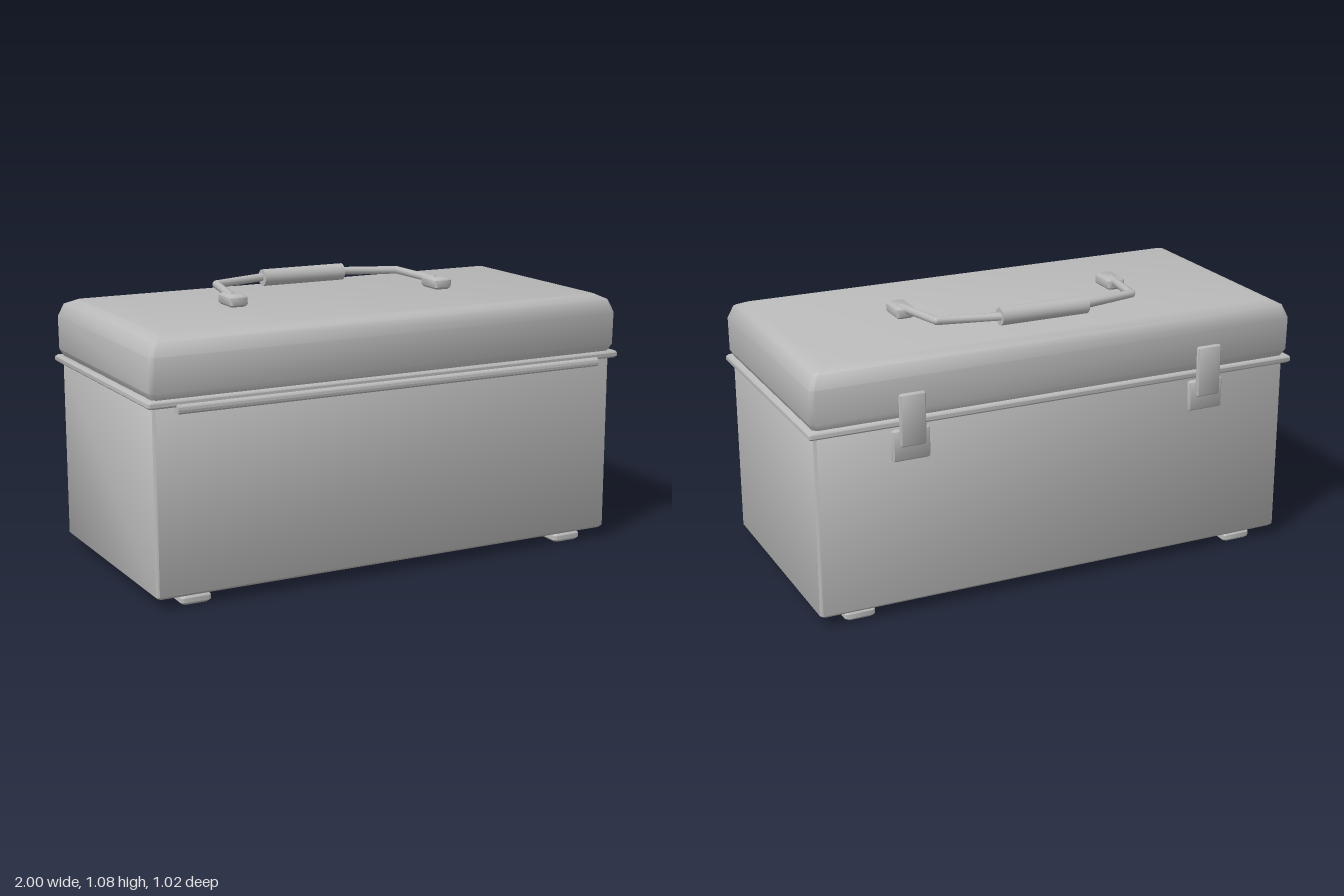
import * as THREE from 'three';
import { toCreasedNormals } from 'three/addons/utils/BufferGeometryUtils.js';
import { ConvexGeometry } from 'three/addons/geometries/ConvexGeometry.js';

const grey = new THREE.MeshStandardMaterial({ color: 0xbababa });
grey.name = 'plain grey';

// Stacked rectangular sections [y, halfX, halfZ] with corners cut by c
function sections(rings, c) {
  const points = [];
  for (const [y, hx, hz] of rings) {
    for (const sx of [-1, 1]) for (const sz of [-1, 1]) {
      points.push(new THREE.Vector3(sx * hx, y, sz * (hz - c)));
      points.push(new THREE.Vector3(sx * (hx - c), y, sz * hz));
    }
  }
  return toCreasedNormals(new ConvexGeometry(points), 0.88);
}

// Box with bevelled edges, centred on the origin
function bevelBox(w, h, d, b) {
  const x = w / 2, y = h / 2, z = d / 2;
  return sections([[-y, x - b, z - b], [-y + b, x, z], [y - b, x, z], [y, x - b, z - b]], b);
}

export function createModel() {
  const model = new THREE.Group();
  model.name = 'toolbox';
  const add = (name, geometry, x = 0, y = 0, z = 0) => {
    const mesh = new THREE.Mesh(geometry, grey);
    mesh.name = name;
    mesh.position.set(x, y, z);
    model.add(mesh);
    return mesh;
  };
  // Straight bar between two points
  const bar = (name, a, b, r, sides) => {
    const dir = b.clone().sub(a);
    const geometry = toCreasedNormals(new THREE.CylinderGeometry(r, r, dir.length(), sides), 0.9);
    const mesh = add(name, geometry);
    mesh.position.copy(a).add(b).multiplyScalar(0.5);
    mesh.quaternion.setFromUnitVectors(new THREE.Vector3(0, 1, 0), dir.normalize());
  };

  // Case, rim and lid
  add('body', bevelBox(1.95, 0.715, 0.932, 0.01), 0, 0.4, 0);
  add('rim', bevelBox(2, 0.027, 0.98, 0.007), 0, 0.762, 0);
  add('lid', sections([
    [0.77, 0.972, 0.464], [0.8, 0.988, 0.479], [0.93, 0.988, 0.483],
    [0.98, 0.968, 0.466], [1, 0.93, 0.42],
  ], 0.015));

  // Hinge along the front
  bar('hinge', new THREE.Vector3(-0.895, 0.741, 0.49), new THREE.Vector3(0.895, 0.741, 0.49), 0.018, 12);

  // Handle grip
  bar('handleGrip', new THREE.Vector3(-0.18, 1.044, -0.307), new THREE.Vector3(0.18, 1.044, -0.307), 0.034, 16);

  for (const s of [-1, 1]) {
    // Runners underneath
    add('foot', bevelBox(0.12, 0.037, 0.892, 0.01), s * 0.813, 0.0195, 0);

    // Latches on the back
    add('latchPlate', bevelBox(0.145, 0.12, 0.022, 0.005), s * 0.613, 0.675, -0.477);
    add('latchLever', bevelBox(0.1, 0.2, 0.02, 0.005), s * 0.613, 0.775, -0.498);

    // Handle brackets and bent rod
    add('handleBracket', bevelBox(0.074, 0.044, 0.12, 0.008), s * 0.45, 1.023, 0);
    const path = [[0.45, 1.032, -0.005], [0.408, 1.042, -0.25], [0.175, 1.046, -0.312]]
      .map(([x, y, z]) => new THREE.Vector3(s * x, y, z));
    for (let i = 0; i < 2; i++) bar('handleRod', path[i], path[i + 1], 0.016, 8);
    add('handleBend', new THREE.SphereGeometry(0.016, 8, 6), path[1].x, path[1].y, path[1].z);
  }
  return model;
}
